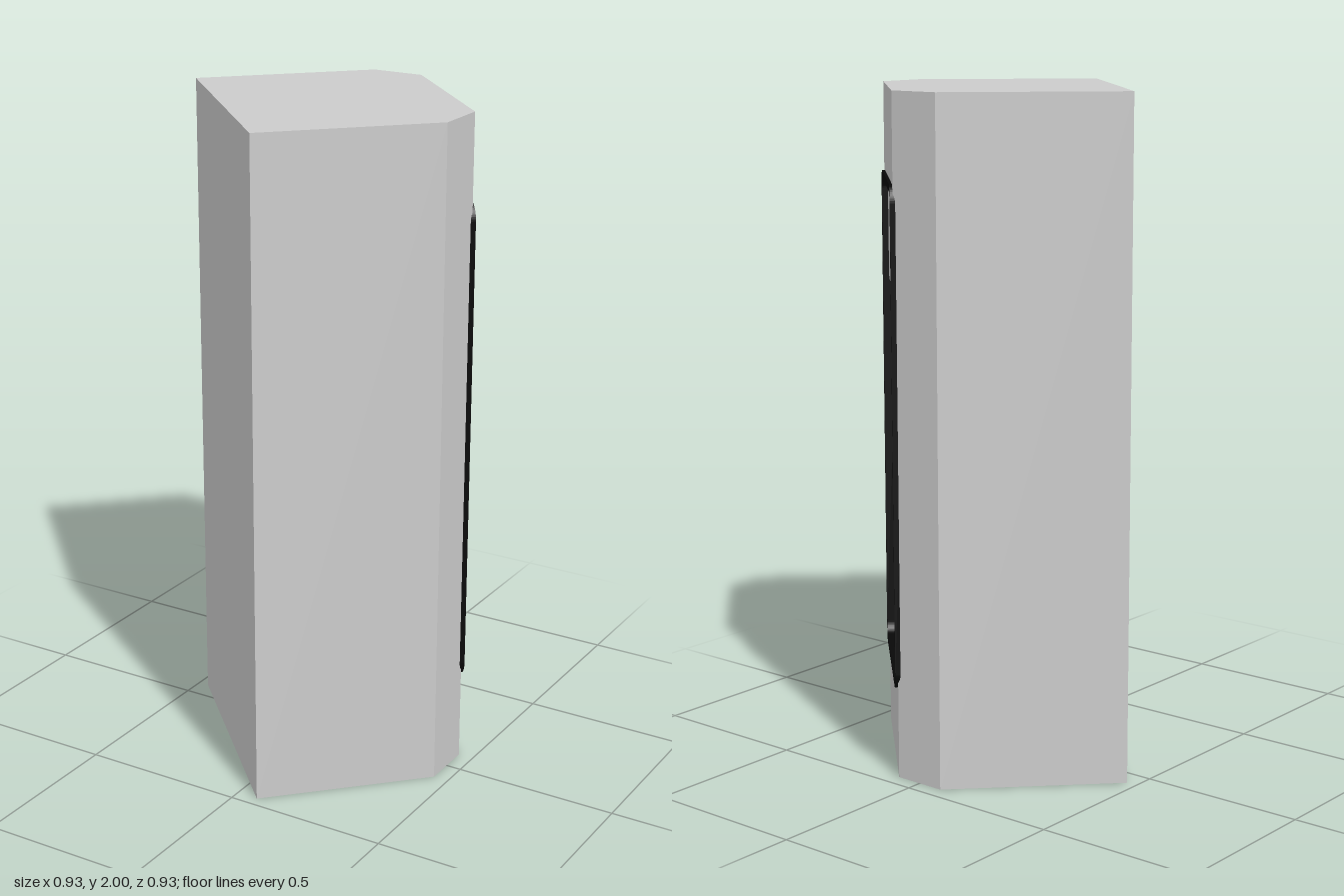
import * as THREE from 'three';
import { mergeGeometries } from 'three/addons/utils/BufferGeometryUtils.js';

const grey = new THREE.MeshStandardMaterial({ color: 0xcccccc });
const black = new THREE.MeshStandardMaterial({ color: 0x080808 });
const dark = new THREE.MeshStandardMaterial({ color: 0x242424 });

const HEIGHT = 2;
// Plan outline as [x, z]; the first edge is the display face
const PLAN = [[0.453, -0.08], [0.08, -0.453], [-0.08, -0.453], [-0.467, -0.067], [0.067, 0.467], [0.453, 0.08]];

function roundedRect(path, x0, y0, x1, y1, r) {
  path.moveTo(x0 + r, y0);
  path.lineTo(x1 - r, y0);
  path.absarc(x1 - r, y0 + r, r, -Math.PI / 2, 0);
  path.lineTo(x1, y1 - r);
  path.absarc(x1 - r, y1 - r, r, 0, Math.PI / 2);
  path.lineTo(x0 + r, y1);
  path.absarc(x0 + r, y1 - r, r, Math.PI / 2, Math.PI);
  path.lineTo(x0, y0 + r);
  path.absarc(x0 + r, y0 + r, r, Math.PI, Math.PI * 1.5);
  return path;
}

// Extrudes a shape so that its front lies at z = front
function slab(name, shape, front, depth, material) {
  const geo = new THREE.ExtrudeGeometry(shape, { depth, bevelEnabled: false, curveSegments: 6 });
  geo.translate(0, 0, front - depth);
  const mesh = new THREE.Mesh(geo, material);
  mesh.name = name;
  return mesh;
}

// Closed cabinet with a window opening in the display face
function createCabinet() {
  const parts = PLAN.map(([ax, az], i) => {
    const [bx, bz] = PLAN[(i + 1) % PLAN.length];
    const length = Math.hypot(bx - ax, bz - az);
    const wall = new THREE.Shape([
      new THREE.Vector2(-length / 2, -HEIGHT / 2), new THREE.Vector2(length / 2, -HEIGHT / 2),
      new THREE.Vector2(length / 2, HEIGHT / 2), new THREE.Vector2(-length / 2, HEIGHT / 2),
    ]);
    if (i === 0) wall.holes.push(roundedRect(new THREE.Path(), -0.262, -0.73, 0.262, 0.73, 0.045));
    return new THREE.ShapeGeometry(wall, 6)
      .rotateY(Math.atan2(-(bz - az), bx - ax))
      .translate((ax + bx) / 2, HEIGHT / 2, (az + bz) / 2);
  });
  // Top and bottom
  const top = new THREE.Shape(PLAN.map(([x, z]) => new THREE.Vector2(x, -z)));
  const bottom = new THREE.Shape(PLAN.map(([x, z]) => new THREE.Vector2(x, z)));
  parts.push(new THREE.ShapeGeometry(top).rotateX(-Math.PI / 2).translate(0, HEIGHT, 0));
  parts.push(new THREE.ShapeGeometry(bottom).rotateX(Math.PI / 2));
  const mesh = new THREE.Mesh(mergeGeometries(parts), grey);
  mesh.name = 'cabinet';
  return mesh;
}

// Framed window with stepped panels, facing +z around its own centre
function createWindow() {
  const group = new THREE.Group();
  group.name = 'displayWindow';

  const ring = roundedRect(new THREE.Shape(), -0.2705, -0.737, 0.2705, 0.737, 0.05);
  ring.holes.push(roundedRect(new THREE.Path(), -0.258, -0.715, 0.258, 0.715, 0.035));
  group.add(slab('windowFrame', ring, 0.0085, 0.055, black));

  // Each lower panel sits one step further in, behind the lip of the one above
  const bottoms = [0.398, 0.12, -0.167, -0.457, -0.72];
  bottoms.forEach((y, i) => {
    const front = -0.01 - i * 0.007;
    const lip = roundedRect(new THREE.Shape(), -0.26, y, 0.26, 0.72, 0.035);
    const face = roundedRect(new THREE.Shape(), -0.255, y + 0.01, 0.255, 0.719, 0.03);
    group.add(slab('panelLip' + (i + 1), lip, front - 0.0015, 0.0055, dark));
    group.add(slab('panel' + (i + 1), face, front, 0.003, grey));
  });
  return group;
}

export function createModel() {
  const model = new THREE.Group();
  model.name = 'displayCabinet';
  model.add(createCabinet());

  const display = createWindow();
  display.position.set(0.2665, 1.002, -0.2665);
  display.rotation.y = Math.PI * 0.75;
  model.add(display);
  return model;
}
